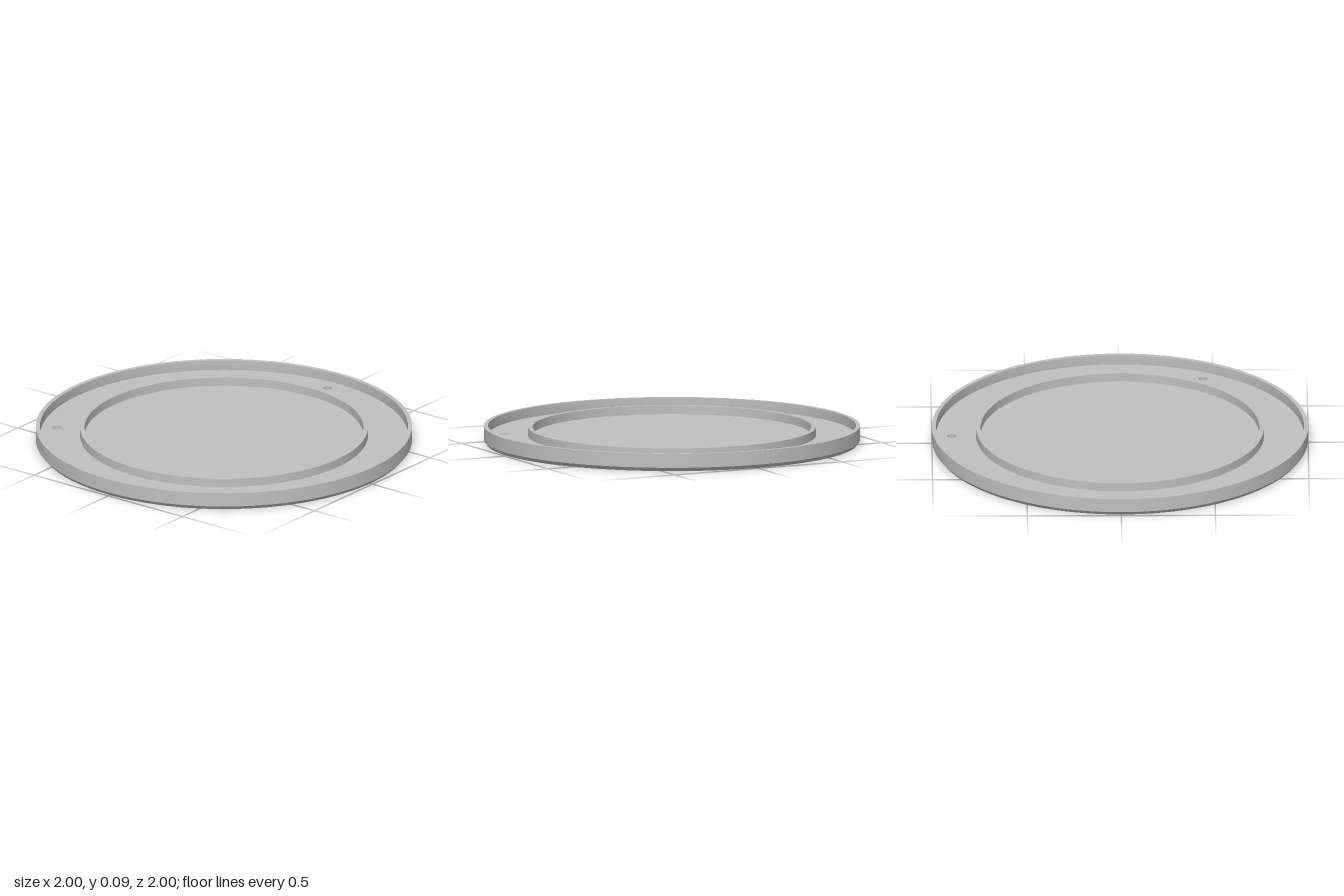
import * as THREE from 'three';
import { toCreasedNormals } from 'three/addons/utils/BufferGeometryUtils.js';

const FLOOR = 0.042;
const HEIGHT = 0.095;
const BASE_RADIUS = 0.984;

export function createModel() {
  const model = new THREE.Group();
  model.name = 'roundCover';
  const grey = new THREE.MeshStandardMaterial({ color: 0xc0c0c0 });
  grey.name = 'plain grey';

  const add = (name, geometry) => {
    const mesh = new THREE.Mesh(toCreasedNormals(geometry, 0.5), grey);
    mesh.name = name;
    model.add(mesh);
  };
  const turned = (profile) =>
    new THREE.LatheGeometry(profile.map(([r, y]) => new THREE.Vector2(r, y)), 128);

  // Flat disc with three through holes, evenly spaced
  const disc = new THREE.Shape().absarc(0, 0, BASE_RADIUS, 0, Math.PI * 2);
  for (let i = 0; i < 3; i++) {
    const a = (i * Math.PI * 2) / 3;
    disc.holes.push(
      new THREE.Path().absarc(0.895 * Math.cos(a), 0.895 * Math.sin(a), 0.025, 0, Math.PI * 2, true)
    );
  }
  const plate = new THREE.ExtrudeGeometry(disc, { depth: FLOOR, bevelEnabled: false, curveSegments: 64 });
  plate.rotateX(-Math.PI / 2);
  add('floorPlate', plate);

  // Outer wall with a chamfered bottom edge
  add('outerRim', turned([
    [BASE_RADIUS, 0], [1, 0.02], [1, HEIGHT], [0.978, HEIGHT], [0.978, FLOOR - 0.01], [BASE_RADIUS, 0],
  ]));

  // Raised inner ring standing on the floor
  add('innerRing', turned([
    [0.765, FLOOR - 0.01], [0.765, 0.088], [0.741, 0.088], [0.741, FLOOR - 0.01],
  ]));

  return model;
}
